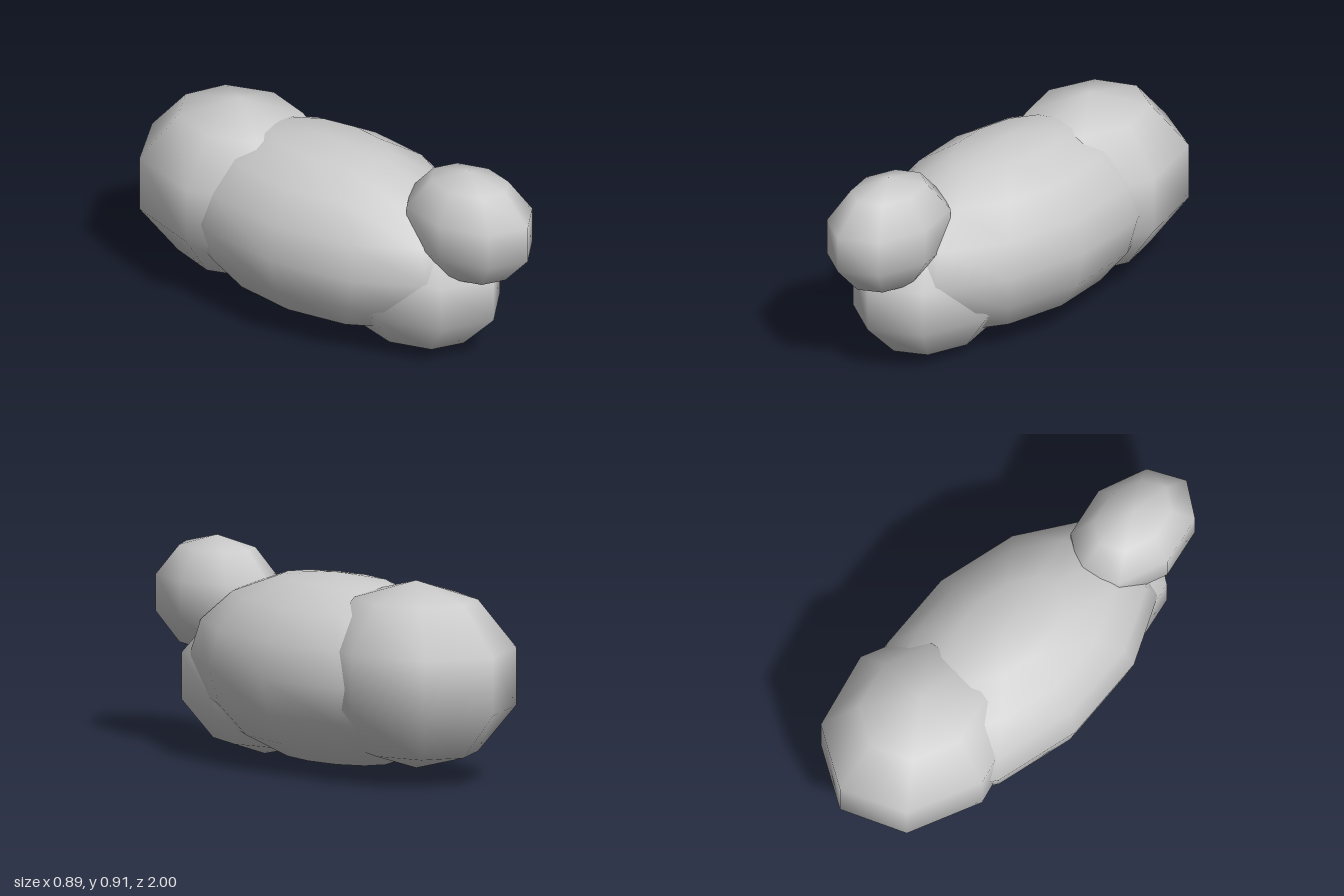
import * as THREE from 'three';

const material = new THREE.MeshStandardMaterial({ color: 0xcccccc });

// Low-poly ellipsoid with smooth normals, its poles along y
function ellipsoid(name, segments, rings, radii, centre) {
  const geometry = new THREE.SphereGeometry(1, segments, rings);
  geometry.scale(...radii);
  const mesh = new THREE.Mesh(geometry, material);
  mesh.name = name;
  mesh.position.set(...centre);
  return mesh;
}

export function createModel() {
  const model = new THREE.Group();
  model.name = 'blobAnimal';
  model.add(
    // long barrel in the middle
    ellipsoid('body', 12, 8, [0.443, 0.415, 0.78], [0, 0.427, -0.043]),
    // rounded rear end
    ellipsoid('hindquarters', 8, 5, [0.405, 0.406, 0.494], [0, 0.459, -0.53]),
    // low bulge at the front
    ellipsoid('chest', 8, 5, [0.31, 0.325, 0.44], [0, 0.327, 0.4]),
    // raised head
    ellipsoid('head', 8, 5, [0.229, 0.26, 0.326], [0, 0.655, 0.69]),
  );
  return model;
}
